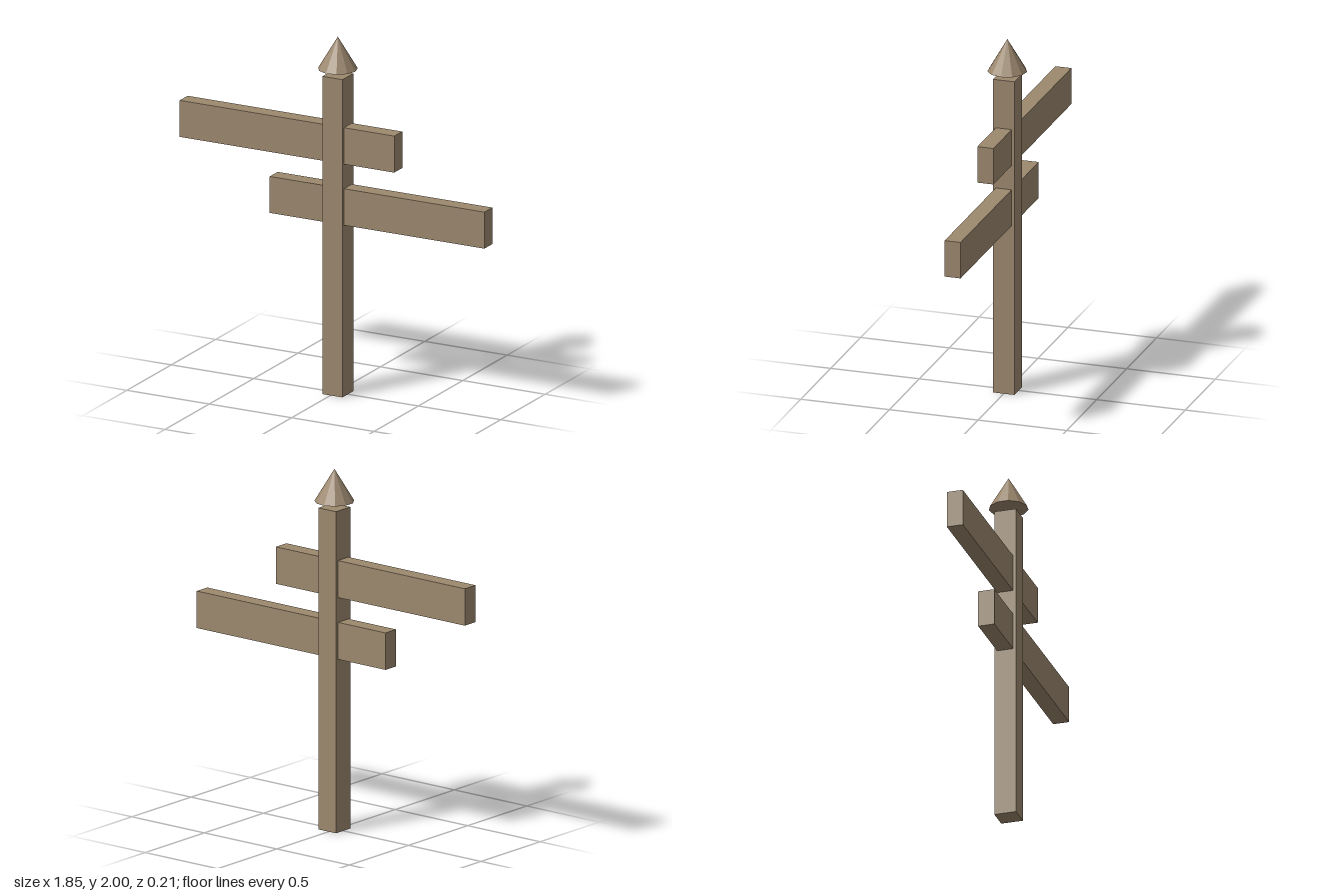
import * as THREE from 'three';

export function createModel() {
  const group = new THREE.Group();
  group.name = 'signpost';
  const wood = new THREE.MeshStandardMaterial({ color: 0x9c886e, flatShading: true });
  wood.name = 'weathered wood';

  const add = (name, geometry, x, y) => {
    const mesh = new THREE.Mesh(geometry, wood);
    mesh.name = name;
    mesh.position.set(x, y, 0);
    group.add(mesh);
  };

  const postX = 0.011;
  const postHeight = 1.785;

  // Square post
  add('post', new THREE.BoxGeometry(0.122, postHeight, 0.122), postX, postHeight / 2);

  // Two boards through the post, pointing opposite ways
  const board = new THREE.BoxGeometry(1.303, 0.205, 0.09);
  add('upperBoard', board, -0.2735, 1.408);
  add('lowerBoard', board, 0.2735, 1.065);

  // Eleven-sided cap floating just above the post, with one corner towards +x
  const cap = new THREE.ConeGeometry(0.107, 0.18, 11, 1, false, Math.PI / 2);
  add('cap', cap, postX, 1.91);

  return group;
}
